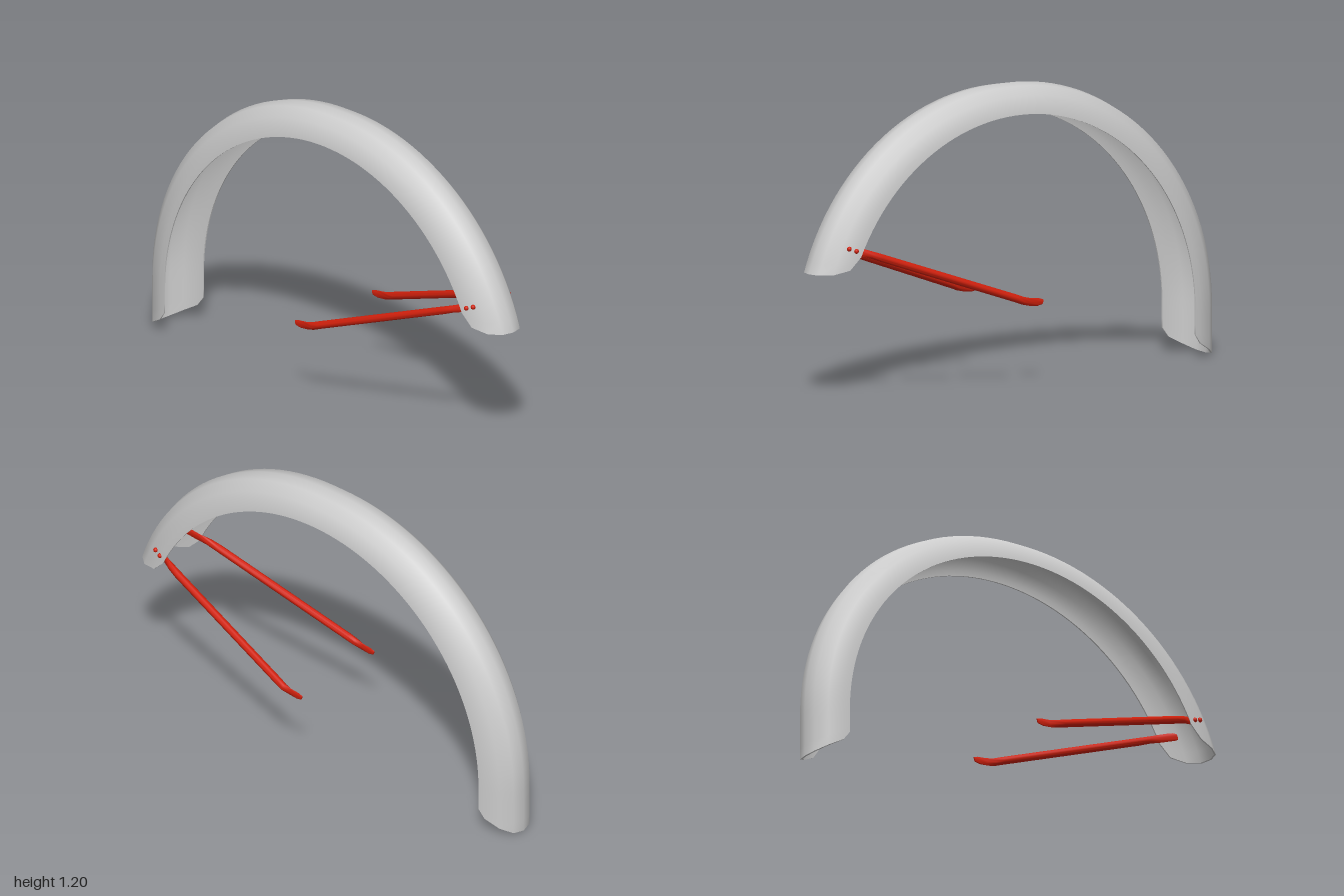
import * as THREE from 'three';
import { toCreasedNormals } from 'three/addons/utils/BufferGeometryUtils.js';

// Joins closed rings of points into a capped solid; each ring's second half mirrors its first.
function loft(rings) {
  const n = rings[0].length, index = [];
  const quad = (a, b, c, d) => index.push(a, b, c, a, c, d);
  for (let j = 0; j < rings.length - 1; j++) {
    for (let i = 0; i < n; i++) {
      const k = (i + 1) % n;
      quad(j * n + i, j * n + k, (j + 1) * n + k, (j + 1) * n + i);
    }
  }
  const e = (rings.length - 1) * n;
  for (let i = 0; i < n / 2 - 1; i++) {
    quad(i, n - 1 - i, n - 2 - i, i + 1);
    quad(e + i, e + i + 1, e + n - 2 - i, e + n - 1 - i);
  }
  const geo = new THREE.BufferGeometry();
  geo.setAttribute('position', new THREE.Float32BufferAttribute(rings.flat(2), 3));
  geo.setIndex(index);
  return toCreasedNormals(geo, 0.85);
}

// Arched mudguard: a thin U-shaped section swept round the wheel
function fenderGeometry() {
  const CY = 0.204, CZ = 0.023, R0 = 0.881, STEPS = 64;
  // half width, share of depth, height of the front end, height of the rear end
  const half = [
    [0.115, 0, 0.58, 0.1],
    [0.111, 0.2, 0.53, 0.062],
    [0.09, 0.62, 0.515, 0.03],
    [0.05, 0.92, 0.513, 0.006],
    [0, 1, 0.513, 0],
  ];
  const outer = [
    ...half.map(([x, ...r]) => [-x, ...r]),
    ...half.slice(0, -1).reverse(),
  ];
  const inner = outer.map(([x, f, a, b]) => [x * 0.95, f * 0.95, a, b]).reverse();
  const section = [...outer, ...inner];

  const rings = [];
  for (let j = 0; j <= STEPS; j++) {
    rings.push(section.map(([x, f, yFront, yRear]) => {
      const rEnd = R0 + f * 0.142;
      const start = Math.asin((yFront - CY) / rEnd);
      const end = Math.PI + (CY - yRear) / rEnd;
      const a = start + (end - start) * j / STEPS;
      // straight tail below the wheel centre
      if (a > Math.PI) return [x, CY - rEnd * (a - Math.PI), CZ - rEnd];
      const r = R0 + f * (0.115 + 0.027 * Math.abs(Math.cos(a)));
      return [x, CY + r * Math.sin(a), CZ + r * Math.cos(a)];
    }));
  }
  return loft(rings);
}

// Round stay with both ends pressed flat
function stayGeometry(side) {
  const SIDES = 14;
  // x, y, z, half thickness, half height
  const stations = [
    [0.088, 0.622, 0.89, 0.003, 0.017],
    [0.105, 0.6, 0.82, 0.003, 0.017],
    [0.119, 0.587, 0.775, 0.014, 0.015],
    [0.128, 0.571, 0.73, 0.016, 0.016],
    [0.218, 0.358, 0.12, 0.016, 0.016],
    [0.223, 0.345, 0.085, 0.014, 0.016],
    [0.223, 0.337, 0.05, 0.003, 0.016],
    [0.223, 0.333, 0.01, 0.003, 0.016],
    [0.223, 0.332, -0.012, 0.003, 0.01],
  ];
  return loft(stations.map(([x, y, z, t, h]) =>
    Array.from({ length: SIDES }, (_, k) => {
      const a = (k + 0.5) / SIDES * Math.PI * 2;
      const v = Math.sin(a) * h;
      return [side * x - Math.cos(a) * t, y + v * 0.95, z - v * 0.32];
    })));
}

export function createModel() {
  const model = new THREE.Group();
  model.name = 'mudguard';
  const grey = new THREE.MeshStandardMaterial({ color: 0xcccccc });
  const red = new THREE.MeshStandardMaterial({ color: 0xd0200c });
  const add = (name, geo, mat, parent = model) => {
    const mesh = new THREE.Mesh(geo, mat);
    mesh.name = name;
    parent.add(mesh);
    return mesh;
  };

  add('fender', fenderGeometry(), grey);

  // A stay and its two rivets on each side
  for (const side of [1, -1]) {
    const group = new THREE.Group();
    group.name = side > 0 ? 'leftStay' : 'rightStay';
    model.add(group);
    add('stayRod', stayGeometry(side), red, group);
    for (const [x, y, z] of [[0.102, 0.617, 0.87], [0.11, 0.606, 0.84]]) {
      add('rivet', new THREE.SphereGeometry(0.01, 12, 8), red, group).position.set(side * x, y, z);
    }
  }
  return model;
}
